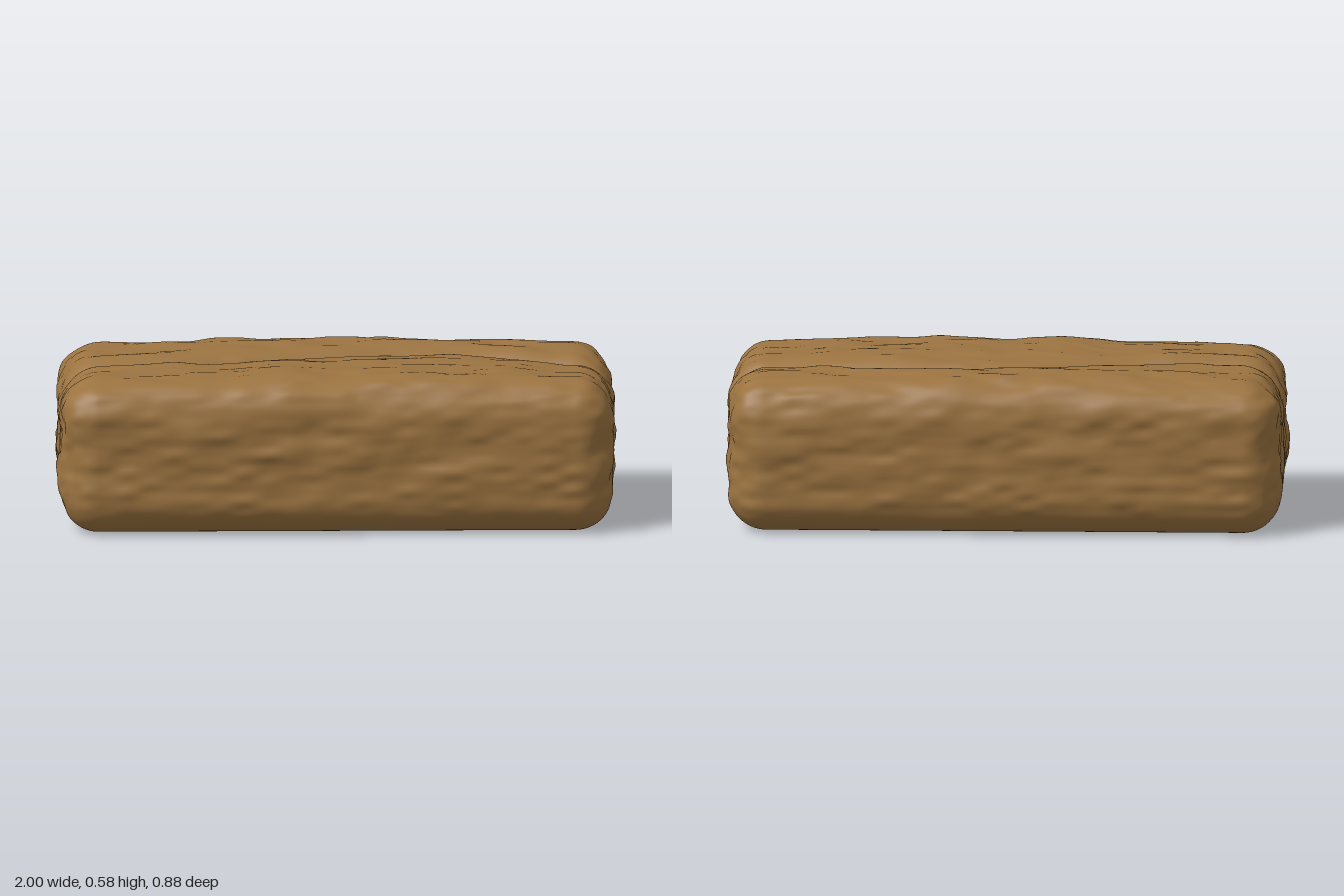
import * as THREE from 'three';
import { mergeVertices } from 'three/addons/utils/BufferGeometryUtils.js';

// Seeded smooth 3D value noise in -1..1
function hash(x, y, z) {
  let h = Math.imul(x, 374761393) ^ Math.imul(y, 668265263) ^ Math.imul(z, 1274126177);
  h = Math.imul(h ^ (h >>> 13), 1103515245);
  return ((h ^ (h >>> 16)) >>> 0) / 2147483648 - 1;
}
function noise(x, y, z) {
  const c = [x, y, z].map(Math.floor);
  const f = [x - c[0], y - c[1], z - c[2]].map((t) => t * t * (3 - 2 * t));
  let sum = 0;
  for (let i = 0; i < 8; i++) {
    const o = [i & 1, (i >> 1) & 1, i >> 2];
    const w = o.reduce((a, b, k) => a * (b ? f[k] : 1 - f[k]), 1);
    sum += w * hash(c[0] + o[0], c[1] + o[1], c[2] + o[2]);
  }
  return sum;
}

// Curve of the split along the crust: z as a function of x
const split = new THREE.SplineCurve(
  [[-1, 0.015], [-0.75, 0.02], [-0.5, -0.005], [-0.25, -0.055], [0, -0.095],
    [0.25, -0.11], [0.5, -0.095], [0.75, -0.05], [1, -0.02]].map(([x, z]) => new THREE.Vector2(x, z)));
const splitZ = (x) => split.getPoint(THREE.MathUtils.clamp((x + 1) / 2, 0, 1)).y;

function loafGeometry() {
  const half = new THREE.Vector3(0.982, 0.274, 0.43), r = 0.135;
  const inner = half.clone().subScalar(r);
  let geo = new THREE.BoxGeometry(half.x * 2, half.y * 2, half.z * 2, 160, 48, 72);
  geo.deleteAttribute('normal');
  geo.deleteAttribute('uv');
  geo = mergeVertices(geo);

  const pos = geo.attributes.position;
  const p = new THREE.Vector3(), core = new THREE.Vector3(), n = new THREE.Vector3();
  for (let i = 0; i < pos.count; i++) {
    // Round all edges and corners
    p.fromBufferAttribute(pos, i);
    core.copy(p).clamp(inner.clone().negate(), inner);
    n.copy(p).sub(core).normalize();
    p.copy(core).addScaledVector(n, r);
    p.y += half.y;

    // Rough crust, streaked lengthwise and fading to a smooth base
    const rough = THREE.MathUtils.smoothstep(p.y, 0.02, 0.17);
    const bumps = 0.010 * noise(p.x * 5, p.y * 13, p.z * 13)
      + 0.005 * noise(p.x * 12 + 7, p.y * 30, p.z * 30);
    const endLumps = 0.008 * noise(p.x * 14 + 3, p.y * 12, p.z * 12) * n.x * n.x;

    // Slight swelling of the top, opened by the split
    const top = Math.max(0, n.y);
    const d = Math.abs(p.z - splitZ(p.x));
    const swell = 0.018 * (1 - p.x * p.x) * top;
    const groove = 0.055 * Math.exp(-Math.pow(d / 0.04, 1.4)) * top;
    p.addScaledVector(n, (bumps + endLumps) * rough);
    p.y += swell - groove;
    pos.setXYZ(i, p.x, p.y, p.z);
  }
  geo.computeVertexNormals();
  return geo;
}

export function createModel() {
  const group = new THREE.Group();
  group.name = 'breadLoaf';
  const crust = new THREE.MeshStandardMaterial({ color: 0x9b7340 });
  crust.name = 'brown crust';
  const loaf = new THREE.Mesh(loafGeometry(), crust);
  loaf.name = 'loaf';
  group.add(loaf);
  return group;
}
